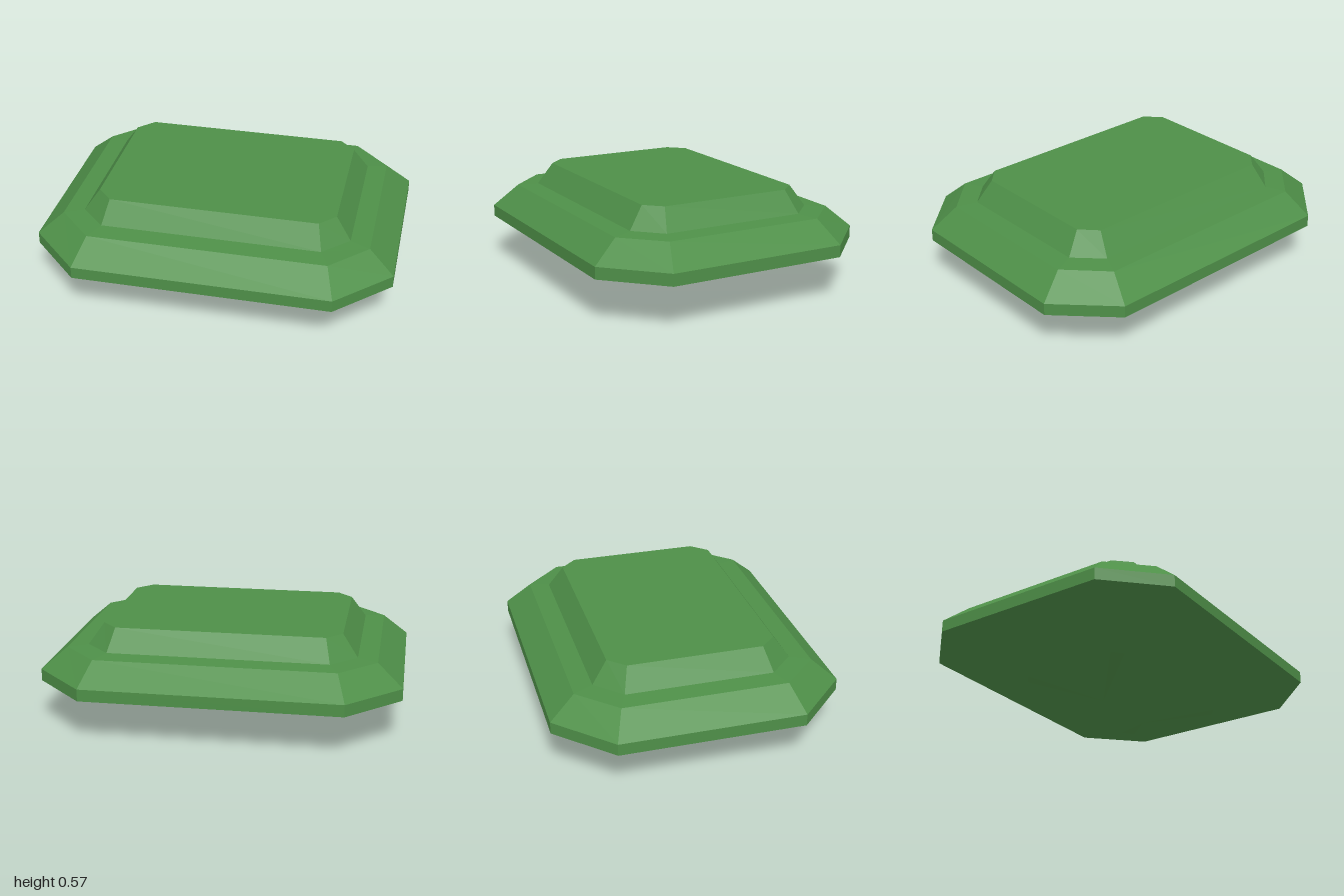
import * as THREE from 'three';

// Octagonal ring: half width, half depth, corner x, corner z, height
const ring = (a, b, cx, cz, y) => [
  [a, y, -cz], [a, y, cz], [cx, y, b], [-cx, y, b],
  [-a, y, cz], [-a, y, -cz], [-cx, y, -b], [cx, y, -b],
];

// Faceted shell through rings listed from bottom to top
function facets(rings) {
  const pos = [];
  const tri = (...pts) => {
    const [a, b, c] = pts.map((p) => new THREE.Vector3(...p));
    if (new THREE.Triangle(a, b, c).getArea() > 1e-6) pos.push(...pts.flat());
  };
  for (let r = 0; r < rings.length - 1; r++) {
    const lo = rings[r], hi = rings[r + 1];
    for (let i = 0; i < 8; i++) {
      const j = (i + 1) % 8;
      tri(lo[i], hi[i], hi[j]);
      tri(lo[i], hi[j], lo[j]);
    }
  }
  return toGeometry(pos);
}

// Flat lid closing a ring from above
function lid(points) {
  const pos = [];
  for (let i = 0; i < 8; i++) {
    pos.push(0, points[0][1], 0, ...points[(i + 1) % 8], ...points[i]);
  }
  return toGeometry(pos);
}

function toGeometry(pos) {
  const g = new THREE.BufferGeometry();
  g.setAttribute('position', new THREE.Float32BufferAttribute(pos, 3));
  g.computeVertexNormals(); // unshared corners keep every facet flat
  return g;
}

export function createModel() {
  const group = new THREE.Group();
  group.name = 'cutGem';
  const green = new THREE.MeshStandardMaterial({ color: 0x4e8f48 });
  green.name = 'gemGreen';

  const keel = ring(0.2, 0, 0.2, 0, 0);
  const belly = ring(0.53, 0.33, 0.47, 0.28, 0.1);
  const girdleLow = ring(1, 0.8, 0.71, 0.51, 0.25);
  const girdleTop = ring(1, 0.8, 0.71, 0.51, 0.317);
  const stepOuter = ring(0.86, 0.66, 0.66, 0.455, 0.438);
  const stepInner = ring(0.75, 0.55, 0.61, 0.41, 0.445);
  const tableEdge = ring(0.665, 0.465, 0.58, 0.375, 0.566);

  const parts = {
    pavilion: facets([keel, belly, girdleLow]),
    girdle: facets([girdleLow, girdleTop]),
    lowerCrown: facets([girdleTop, stepOuter]),
    crownStep: facets([stepOuter, stepInner]),
    upperCrown: facets([stepInner, tableEdge]),
    table: lid(tableEdge),
  };
  for (const [name, geometry] of Object.entries(parts)) {
    const mesh = new THREE.Mesh(geometry, green);
    mesh.name = name;
    group.add(mesh);
  }
  return group;
}
